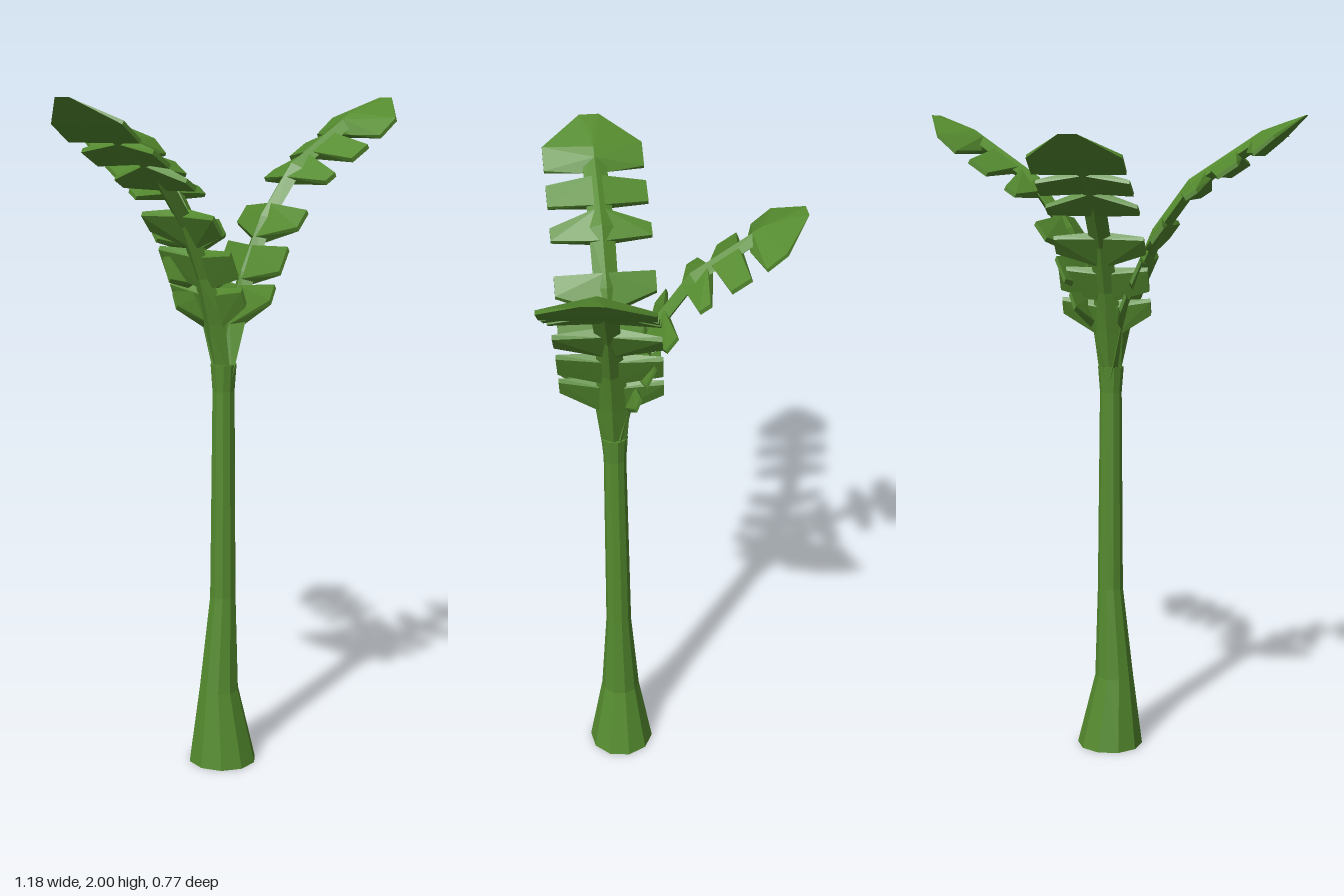
import * as THREE from 'three';
import { ConvexGeometry } from 'three/addons/geometries/ConvexGeometry.js';

// Ridge line of a frond: distance from the trunk axis, height above the crown, half width of the stalk
const RIDGE = [
  [-0.015, 0, 0.036], [0.02, 0.16, 0.05], [0.06, 0.3, 0.04], [0.13, 0.46, 0.036],
  [0.24, 0.61, 0.038], [0.46, 0.755, 0.035], [0.53, 0.778, 0.03],
];
// Leaflets: root start, root end, edge start, edge end (distances along the ridge)
const LEAFLETS = [
  [0.018, 0.05, 0.055, 0.072], [0.055, 0.095, 0.088, 0.118], [0.105, 0.16, 0.15, 0.185],
  [0.165, 0.225, 0.215, 0.25], [0.215, 0.295, 0.25, 0.285], [0.3, 0.385, 0.345, 0.405],
];
const HALF_WIDTH = 0.15;

const v = (x, y, z) => new THREE.Vector3(x, y, z);

function ridgeHeight(r) {
  let i = 1;
  while (i < RIDGE.length - 1 && r > RIDGE[i][0]) i++;
  const [r0, y0] = RIDGE[i - 1], [r1, y1] = RIDGE[i];
  return y0 + (y1 - y0) * (r - r0) / (r1 - r0);
}

// Lofted diamond-section stalk following the ridge
function stalkGeometry() {
  const pos = [], idx = [];
  RIDGE.forEach(([r, y, w], i) => {
    const a = RIDGE[Math.max(i - 1, 0)], b = RIDGE[Math.min(i + 1, RIDGE.length - 1)];
    const n = new THREE.Vector2(b[1] - a[1], a[0] - b[0]).normalize(); // down and outward
    const at = (d, z) => pos.push(r + n.x * d, y + n.y * d, z);
    at(0, 0); at(0.022, w); at(0.042, 0); at(0.022, -w);
    if (i === 0) { idx.push(0, 2, 1, 0, 3, 2); return; }
    for (let j = 0; j < 4; j++) {
      const k = (j + 1) % 4, p = (i - 1) * 4, q = i * 4;
      idx.push(p + j, p + k, q + j, p + k, q + k, q + j);
    }
  });
  const g = new THREE.BufferGeometry();
  g.setAttribute('position', new THREE.Float32BufferAttribute(pos, 3));
  g.setIndex(idx);
  g.computeVertexNormals();
  return g;
}

// Drooping wedge, thick at the stalk and thin at its outer edge
function leafletGeometry([a, b, c, d], side) {
  const pts = [];
  for (const r of [a, b]) {
    const y = ridgeHeight(r);
    pts.push(v(r, y - 0.006, 0), v(r + 0.018, y - 0.03, 0));
  }
  for (const r of [c, d]) {
    const y = ridgeHeight(r) - 0.055;
    pts.push(v(r, y, side * HALF_WIDTH), v(r + 0.006, y - 0.012, side * HALF_WIDTH));
  }
  return new ConvexGeometry(pts);
}

// Arrow-shaped end of a frond
function tipGeometry() {
  const pts = [v(0.43, 0.735, 0), v(0.46, 0.755, 0), v(0.44, 0.7, 0), v(0.53, 0.78, 0)];
  for (const s of [1, -1]) {
    pts.push(
      v(0.42, 0.69, s * 0.04), v(0.45, 0.69, s * HALF_WIDTH), v(0.455, 0.68, s * HALF_WIDTH),
      v(0.51, 0.74, s * HALF_WIDTH), v(0.515, 0.73, s * HALF_WIDTH), v(0.595, 0.8, s * 0.03),
    );
  }
  return new ConvexGeometry(pts);
}

export function createModel() {
  const model = new THREE.Group();
  model.name = 'palm';
  const green = new THREE.MeshStandardMaterial({ color: 0x558b2f, flatShading: true });
  const add = (parent, geometry, name) => {
    const mesh = new THREE.Mesh(geometry, green);
    mesh.name = name;
    parent.add(mesh);
  };

  const plant = new THREE.Group();
  plant.name = 'plant';
  plant.position.set(-0.005, 0, 0.155);
  model.add(plant);

  // Trunk, flared at the foot and slightly crooked
  const profile = [[0, 0], [0.104, 0], [0.061, 0.23], [0.04, 0.52], [0.034, 1.15], [0.04, 1.23], [0, 1.23]];
  const trunk = new THREE.LatheGeometry(profile.map(([r, y]) => new THREE.Vector2(r, y)), 10);
  const p = trunk.attributes.position;
  for (let i = 0; i < p.count; i++) {
    if (Math.abs(p.getY(i) - 0.23) < 0.01) p.setX(i, p.getX(i) - 0.014);
  }
  add(plant, trunk, 'trunk');

  // Three fronds fanning out of the crown: turn about the trunk, size
  const fronds = [
    ['leftFrond', 0, 1], ['backFrond', Math.PI / 2 + 0.15, 0.915], ['rightFrond', Math.PI + 0.168, 0.99],
  ];
  for (const [name, turn, size] of fronds) {
    const frond = new THREE.Group();
    frond.name = name;
    frond.position.y = 1.2;
    frond.rotation.y = turn;
    frond.scale.setScalar(size);
    add(frond, stalkGeometry(), 'stalk');
    add(frond, tipGeometry(), 'frondTip');
    LEAFLETS.filter((_, i) => i !== 3).forEach((l) => {
      for (const side of [1, -1]) add(frond, leafletGeometry(l, side), 'leaflet');
    });
    plant.add(frond);
  }
  return model;
}
